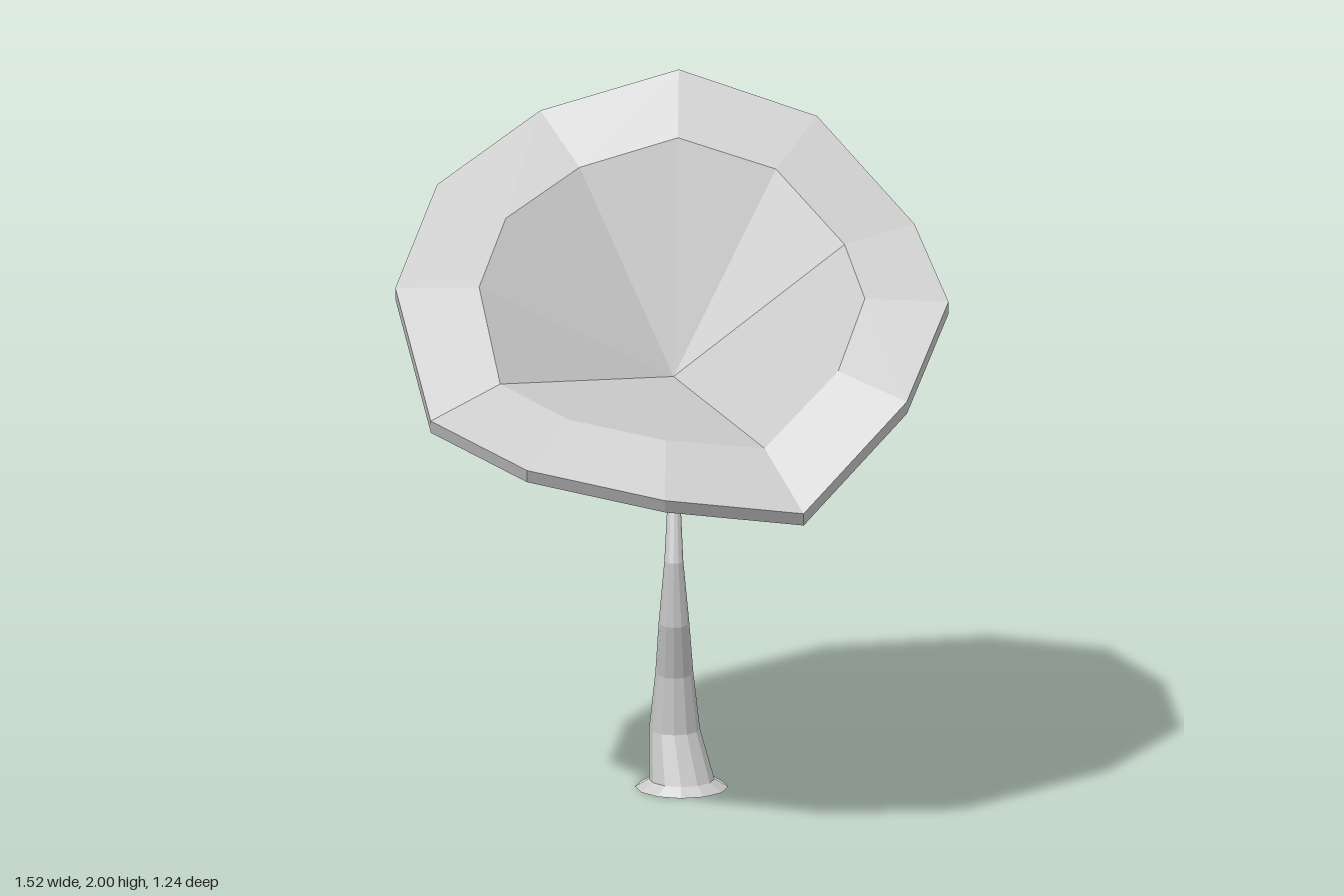
import * as THREE from 'three';

const SIDES = 12;
const material = new THREE.MeshStandardMaterial({ color: 0xcccccc, flatShading: true, side: THREE.DoubleSide });

// Skins a list of rings, each running back, left, front, right, from the lowest outward
function loft(name, rings) {
  const pos = [];
  const tri = (...pts) => pts.forEach((p) => pos.push(p.x, p.y, p.z));
  for (let i = 0; i < rings.length - 1; i++) {
    const a = rings[i], b = rings[i + 1];
    for (let j = 0; j < SIDES; j++) {
      const k = (j + 1) % SIDES;
      tri(a[k], a[j], b[j]);
      if (b[j] !== b[k]) tri(a[k], b[j], b[k]);
    }
  }
  const geometry = new THREE.BufferGeometry();
  geometry.setAttribute('position', new THREE.Float32BufferAttribute(pos, 3));
  geometry.computeVertexNormals();
  const mesh = new THREE.Mesh(geometry, material);
  mesh.name = name;
  return mesh;
}

// Round ring that can lean towards the front
function ring([x, y, z, r, tilt = 0]) {
  return Array.from({ length: SIDES }, (_, j) => {
    const t = (j / SIDES) * Math.PI * 2;
    return new THREE.Vector3(
      x + r * Math.sin(t),
      y + r * Math.cos(t) * Math.sin(tilt),
      z - r * Math.cos(t) * Math.cos(tilt));
  });
}

const toRing = (list) => list.map((p) => new THREE.Vector3(...p));

export function createModel() {
  const group = new THREE.Group();
  group.name = 'funnelMushroom';

  // Crooked stalk: x, y, z, radius, tilt
  const top = [0, 1.08, -0.27, 0.05, 0.4];
  const stalk = [
    [0.02, 0.025, -0.44, 0.09],
    [0, 0.16, -0.465, 0.07],
    [0, 0.33, -0.435, 0.052, 0.12],
    [0, 0.49, -0.368, 0.042, 0.15],
    [0, 0.67, -0.34, 0.026],
    [0, 0.81, -0.375, 0.019],
    [0, 0.95, -0.333, 0.025, 0.3],
    top,
  ].map(ring);
  group.add(loft('stalk', stalk));

  // Flared, hollow foot
  group.add(loft('foot', [ring([0.02, 0, -0.45, 0.128]), stalk[0]]));

  // Uneven outer rim and the inner edge of its sloping band
  const rim = toRing([
    [0.01, 2, -0.595], [0.39, 1.88, -0.555], [0.66, 1.62, -0.385], [0.76, 1.505, 0.01],
    [0.65, 1.3, 0.31], [0.37, 1.04, 0.53], [-0.01, 1.1, 0.62], [-0.39, 1.16, 0.53],
    [-0.66, 1.2, 0.16], [-0.76, 1.53, -0.02], [-0.65, 1.74, -0.335], [-0.37, 1.89, -0.565],
  ]);
  const lip = toRing([
    [0.01, 1.85, -0.43], [0.28, 1.77, -0.4], [0.47, 1.59, -0.275], [0.53, 1.51, 0],
    [0.46, 1.36, 0.21], [0.26, 1.18, 0.36], [-0.01, 1.22, 0.43], [-0.28, 1.26, 0.36],
    [-0.47, 1.29, 0.1], [-0.53, 1.53, -0.03], [-0.46, 1.67, -0.24], [-0.26, 1.77, -0.41],
  ]);

  // Rim underside, then a smaller copy where the neck meets the cap
  const under = rim.map((p) => p.clone().add(new THREE.Vector3(0, -0.04, -0.025)));
  const neck = rim.map((p) => new THREE.Vector3(
    p.x * 0.34, 1.27 + (p.y - 1.52) * 0.34, -0.17 + p.z * 0.34));
  const apex = new Array(SIDES).fill(new THREE.Vector3(0, 1.21, -0.285));

  group.add(loft('neck', [ring(top), neck]));
  group.add(loft('capUnderside', [neck, under]));
  group.add(loft('capRim', [under, rim]));
  group.add(loft('capBand', [rim, lip]));
  group.add(loft('capFunnel', [lip, apex]));

  return group;
}
